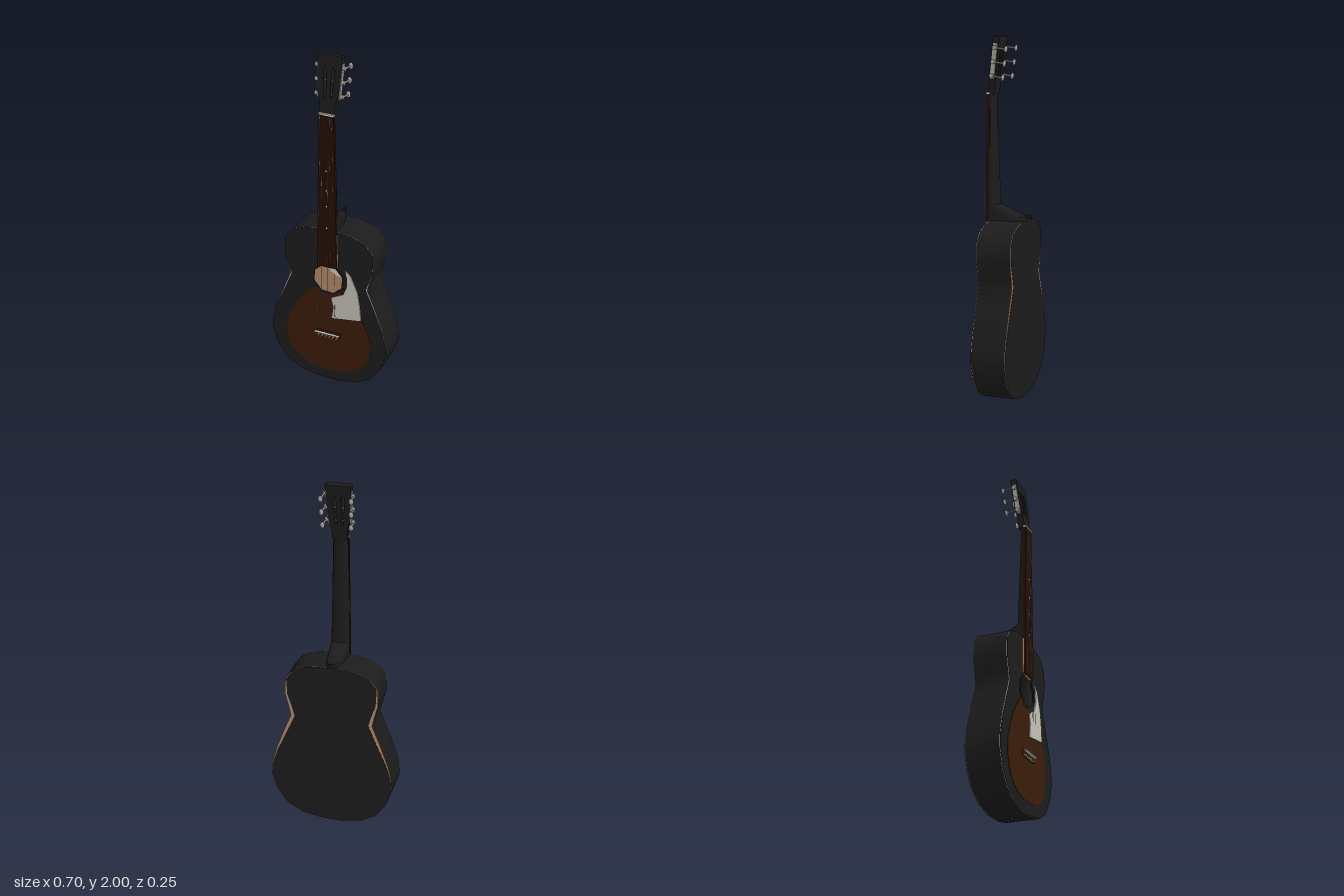
import * as THREE from 'three';
import { toCreasedNormals } from 'three/addons/utils/BufferGeometryUtils.js';

const mat = (name, color) => {
  const m = new THREE.MeshStandardMaterial({ color });
  m.name = name;
  return m;
};

// Right half of the body outline, bottom to top
const HALF = [[0.06, 0.03], [0.17, 0.05], [0.26, 0.1], [0.32, 0.185], [0.35, 0.28], [0.347, 0.35], [0.325, 0.44],
  [0.275, 0.575], [0.232, 0.68], [0.245, 0.74], [0.263, 0.81], [0.26, 0.91], [0.215, 0.967], [0.15, 0.992], [0.08, 1.005]];
const HOLE_Y = 0.7, HOLE_R = 0.09, TOP_Z = 0.095, BACK_Z = -0.1;

const mirror = (half) => [...half, ...half.slice().reverse().map(([x, y]) => [-x, y])];
const shapeOf = (pts) => new THREE.Shape(pts.map(([x, y]) => new THREE.Vector2(x, y)));
const pathOf = (pts) => new THREE.Path(pts.map(([x, y]) => new THREE.Vector2(x, y)));
const inset = (pts, d) => pts.map(([x, y]) => [x * (1 - d / 0.3), 0.5 + (y - 0.5) * (1 - d / 0.48)]);

// Body outline drawn in around one height, so the layer below shows at its edge
const pinched = (amount, centre, spread) => mirror(
  HALF.map(([x, y]) => [x - amount * Math.exp(-(((y - centre) / spread) ** 2)), y]));

// Eight-sided opening
const octagon = (r) => Array.from({ length: 8 }, (_, i) => {
  const a = (i + 0.4) * Math.PI / 4;
  return [r * Math.cos(a), HOLE_Y + r * Math.sin(a)];
});

// Slab standing between two z values
function slab(shape, z0, z1) {
  const g = new THREE.ExtrudeGeometry(shape, { depth: z1 - z0, bevelEnabled: false, curveSegments: 8 });
  g.translate(0, 0, z0);
  return g;
}

// D-shaped neck lofted through rows of [y, halfWidth, frontZ, backZ]
function neckGeometry(rows) {
  const n = 10, pos = [], idx = [];
  for (const [y, w, zf, zb] of rows) {
    for (let i = 0; i <= n; i++) {
      const a = Math.PI * i / n, c = Math.cos(a);
      pos.push(w * Math.sign(c) * Math.abs(c) ** 0.8, y, zf + (zb - zf) * Math.sin(a) ** 0.8);
    }
  }
  const s = n + 1;
  for (let r = 0; r < rows.length - 1; r++) {
    for (let i = 0; i < s; i++) {
      const j = (i + 1) % s, a = r * s + i, b = r * s + j;
      idx.push(a, b, a + s, b, b + s, a + s);
    }
  }
  for (let i = 1; i < n; i++) {
    const t = (rows.length - 1) * s;
    idx.push(0, i + 1, i, t, t + i, t + i + 1);
  }
  const g = new THREE.BufferGeometry();
  g.setAttribute('position', new THREE.Float32BufferAttribute(pos, 3));
  g.setIndex(idx);
  return toCreasedNormals(g, 0.7);
}

export function createModel() {
  const black = mat('black lacquer', 0x1c1c1c);
  const brown = mat('sunburst brown', 0x3c1c0a);
  const rosewood = mat('fretboard brown', 0x260f03);
  const tan = mat('bare wood', 0xb58a6a);
  const cream = mat('cream', 0xd8d1c5);
  const guardGrey = mat('pickguard grey', 0xc6c3ba);
  const metal = mat('metal', 0xaba79c);
  for (const m of [black, brown, tan]) m.side = THREE.DoubleSide;

  const model = new THREE.Group();
  model.name = 'guitar';
  const add = (name, geo, material, parent = model) => {
    const m = new THREE.Mesh(geo, material);
    m.name = name;
    parent.add(m);
    return m;
  };
  const rod = (name, a, b, r, material, parent = model, sides = 6) => {
    const p = new THREE.Vector3(...a), q = new THREE.Vector3(...b), d = q.clone().sub(p);
    const m = add(name, new THREE.CylinderGeometry(r, r, d.length(), sides), material, parent);
    m.position.copy(p).add(q).multiplyScalar(0.5);
    m.quaternion.setFromUnitVectors(new THREE.Vector3(0, 1, 0), d.normalize());
  };

  // Body: hollow rim, back over a bare wood liner, front over a cream binding
  const outline = mirror(HALF);
  const rim = shapeOf(outline);
  rim.holes.push(pathOf(inset(outline, 0.006)));
  add('rim', toCreasedNormals(slab(rim, BACK_Z + 0.004, TOP_Z - 0.004), 0.75), black);
  add('backLiner', slab(shapeOf(outline), BACK_Z + 0.002, BACK_Z + 0.004), tan);
  add('back', slab(shapeOf(pinched(0.022, 0.65, 0.22)), BACK_Z, BACK_Z + 0.002), black);
  const binding = shapeOf(outline);
  binding.holes.push(pathOf(inset(outline, 0.03)));
  add('binding', slab(binding, TOP_Z - 0.004, TOP_Z - 0.002), cream);
  const top = shapeOf(pinched(0.009, 0.64, 0.09));
  top.holes.push(pathOf(octagon(HOLE_R)));
  add('top', slab(top, TOP_Z - 0.002, TOP_Z), black);

  // Label seen inside the sound hole
  const label = add('innerLabel', new THREE.CircleGeometry(0.1, 16), cream);
  label.position.set(0, HOLE_Y, BACK_Z + 0.009);

  // Sunburst centre, notched around the sound hole
  const burst = new THREE.Shape();
  const r = HOLE_R + 0.004, a0 = Math.PI * 1.22, a1 = Math.PI * 1.78;
  burst.moveTo(r * Math.cos(a0), HOLE_Y + r * Math.sin(a0));
  burst.absarc(0, HOLE_Y, r, a0, a1, false);
  burst.splineThru([[0.125, 0.595], [0.2, 0.49], [0.25, 0.37], [0.257, 0.27], [0.22, 0.175], [0.13, 0.11], [0, 0.093],
    [-0.13, 0.11], [-0.22, 0.175], [-0.257, 0.27], [-0.25, 0.37], [-0.2, 0.49], [-0.125, 0.595],
    [r * Math.cos(a0), HOLE_Y + r * Math.sin(a0)]].map(([x, y]) => new THREE.Vector2(x, y)));
  add('sunburst', slab(burst, TOP_Z, TOP_Z + 0.002), brown);

  const ring = shapeOf(octagon(HOLE_R + 0.012));
  ring.holes.push(pathOf(octagon(HOLE_R)));
  add('rosette', slab(ring, TOP_Z, TOP_Z + 0.003), black);

  add('pickguard', slab(shapeOf([[0.025, 0.453], [0.2, 0.48], [0.192, 0.57], [0.178, 0.655], [0.137, 0.75],
    [0.105, 0.78], [0.116, 0.73], [0.116, 0.68], [0.095, 0.625], [0.02, 0.585], [0.035, 0.53]]),
  TOP_Z, TOP_Z + 0.006), guardGrey);

  // Low bridge, saddle and pins
  const bridge = add('bridge', new THREE.BoxGeometry(0.15, 0.035, 0.004), brown);
  bridge.position.set(0, 0.338, TOP_Z + 0.003);
  const saddle = add('saddle', new THREE.BoxGeometry(0.15, 0.005, 0.015), cream);
  saddle.position.set(0, 0.347, 0.1155);
  for (let i = 0; i < 6; i++) {
    const x = -0.055 + i * 0.022;
    rod('bridgePin', [x, 0.326, 0.098], [x, 0.326, 0.116], 0.004, cream);
  }

  // Neck with heel, fretboard on a bare wood tongue, nut and position dots
  add('neck', neckGeometry([[0.99, 0.05, 0.1, -0.1], [1.03, 0.05, 0.1, -0.1], [1.06, 0.051, 0.1, -0.02],
    [1.09, 0.051, 0.1, 0.052], [1.4, 0.046, 0.1, 0.064], [1.64, 0.04, 0.1, 0.073], [1.73, 0.038, 0.097, 0.068]]), black);
  add('fretboard', slab(shapeOf([[-0.058, 0.785], [0.058, 0.785], [0.042, 1.69], [-0.042, 1.69]]), TOP_Z, 0.113), rosewood);
  add('fretboardTongue', slab(shapeOf([[-0.025, 0.777], [0.025, 0.777], [0.059, 0.787], [0.0555, 0.99],
    [-0.0555, 0.99], [-0.059, 0.787]]), TOP_Z, 0.103), tan);
  const nut = add('nut', new THREE.BoxGeometry(0.086, 0.009, 0.02), cream);
  nut.position.set(0, 1.692, 0.107);
  for (const y of [1.03, 1.16, 1.255, 1.37]) {
    const dot = add('fretDot', new THREE.CircleGeometry(0.005, 8), cream);
    dot.position.set(0, y, 0.1135);
  }

  // Slotted headstock, leaning back
  const head = new THREE.Group();
  head.name = 'headstock';
  head.position.set(0, 1.69, 0.106);
  head.rotation.x = -0.13;
  model.add(head);
  const plate = shapeOf(mirror([[0.04, 0], [0.045, 0.065], [0.058, 0.11], [0.063, 0.18], [0.069, 0.31]]));
  for (const s of [-1, 1]) {
    plate.holes.push(pathOf([[0.012, 0.09], [0.022, 0.085], [0.032, 0.24], [0.022, 0.25], [0.014, 0.24]].map(([x, y]) => [s * x, y])));
  }
  add('headPlate', slab(plate, -0.036, 0), black, head);

  // Tuners: side plates, rollers and backward-facing buttons
  for (const s of [-1, 1]) {
    const side = add('tunerPlate', new THREE.BoxGeometry(0.006, 0.19, 0.024), metal, head);
    side.position.set(s * 0.0645, 0.178, -0.018);
    side.rotation.z = -s * 0.055;
    for (const y of [0.1, 0.175, 0.25]) {
      const x = s * (0.066 + y * 0.03);
      rod('tunerRoller', [s * 0.01, y, -0.018], [x, y, -0.018], 0.004, metal, head);
      rod('tunerGear', [x - s * 0.004, y, -0.018], [x + s * 0.01, y, -0.018], 0.012, metal, head, 8);
      rod('tunerShaft', [x + s * 0.005, y, -0.01], [x + s * 0.008, y, -0.08], 0.005, metal, head);
      const button = add('tunerButton', new THREE.SphereGeometry(1, 8, 6), metal, head);
      button.scale.set(0.013, 0.018, 0.009);
      button.position.set(x + s * 0.008, y, -0.084);
    }
  }

  // Strings
  for (let i = 0; i < 6; i++) {
    const t = i / 2.5 - 1;
    rod('string', [t * 0.055, 0.347, 0.123], [t * 0.033, 1.692, 0.118], 0.0006, metal, model, 4);
  }

  // Strap buttons on the heel and the bottom
  rod('heelButton', [0, 1.03, -0.095], [0, 1.03, -0.118], 0.006, black, model, 8);
  rod('heelButtonCap', [0, 1.03, -0.117], [0, 1.03, -0.126], 0.011, black, model, 8);
  rod('endPin', [0, 0.035, 0.01], [0, 0.008, 0.01], 0.007, black, model, 8);
  rod('endPinCap', [0, 0.012, 0.01], [0, 0, 0.01], 0.011, black, model, 8);
  return model;
}
